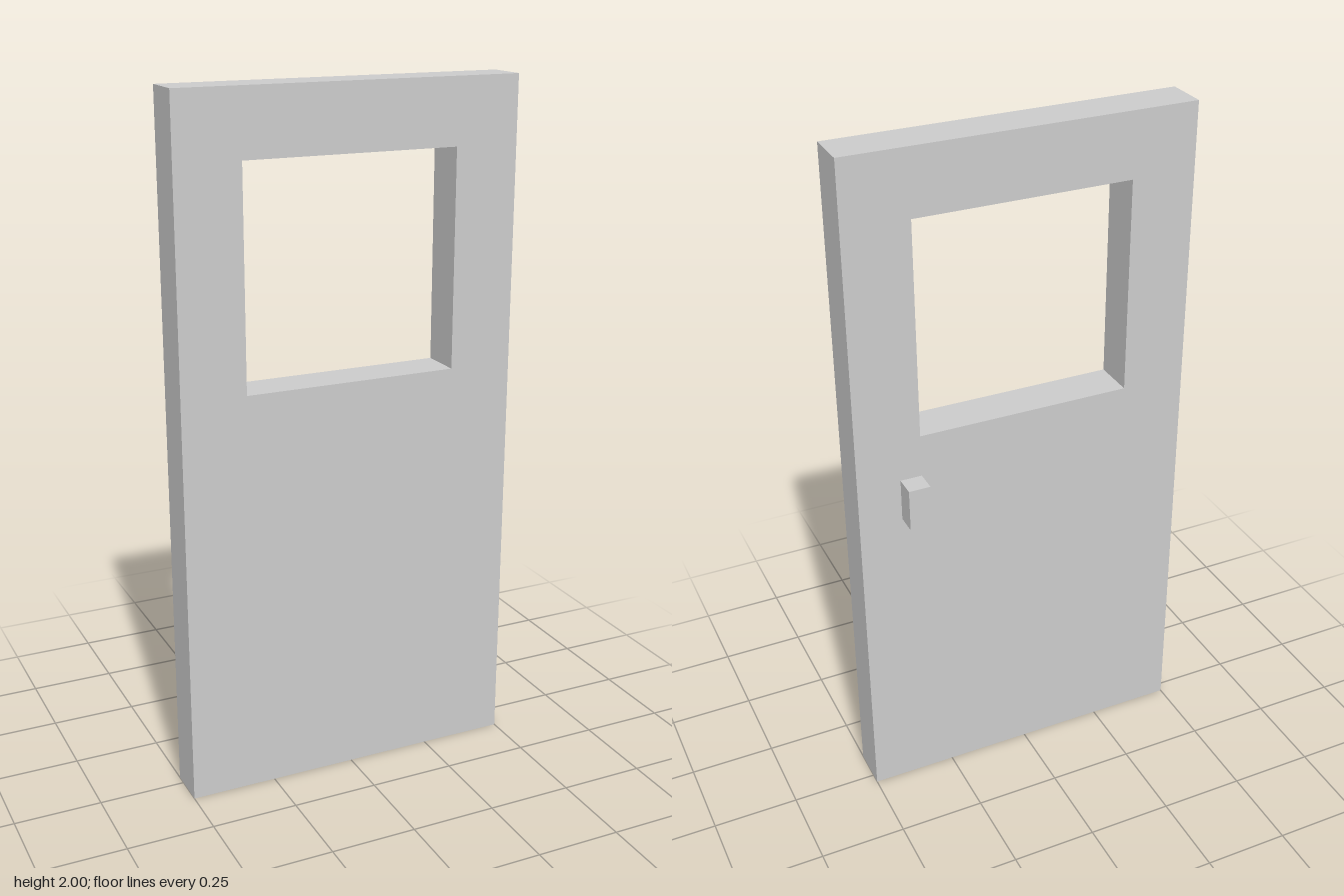
import * as THREE from 'three';

const UNIT = 1 / 32;

// Axis-aligned rectangle, as a Shape or a Path
function rectangle(outline, x0, y0, x1, y1) {
  outline.moveTo(x0, y0);
  outline.lineTo(x1, y0);
  outline.lineTo(x1, y1);
  outline.lineTo(x0, y1);
  outline.closePath();
  return outline;
}

export function createModel() {
  const model = new THREE.Group();
  model.name = 'door';
  const material = new THREE.MeshStandardMaterial({ color: 0xcccccc, flatShading: true });

  // Door slab with a square window opening
  const outline = rectangle(new THREE.Shape(), -0.5, 0, 0.5, 2);
  outline.holes.push(rectangle(new THREE.Path(), -10 * UNIT, 38 * UNIT, 10 * UNIT, 58 * UNIT));
  const panel = new THREE.Mesh(
    new THREE.ExtrudeGeometry(outline, { depth: 4 * UNIT, bevelEnabled: false }),
    material
  );
  panel.name = 'doorPanel';
  panel.position.z = -UNIT;
  model.add(panel);

  // Handle block on the back face
  const handle = new THREE.Mesh(new THREE.BoxGeometry(2 * UNIT, 4 * UNIT, 2 * UNIT), material);
  handle.name = 'handle';
  handle.position.set(11 * UNIT, 1, -2 * UNIT);
  model.add(handle);

  return model;
}
